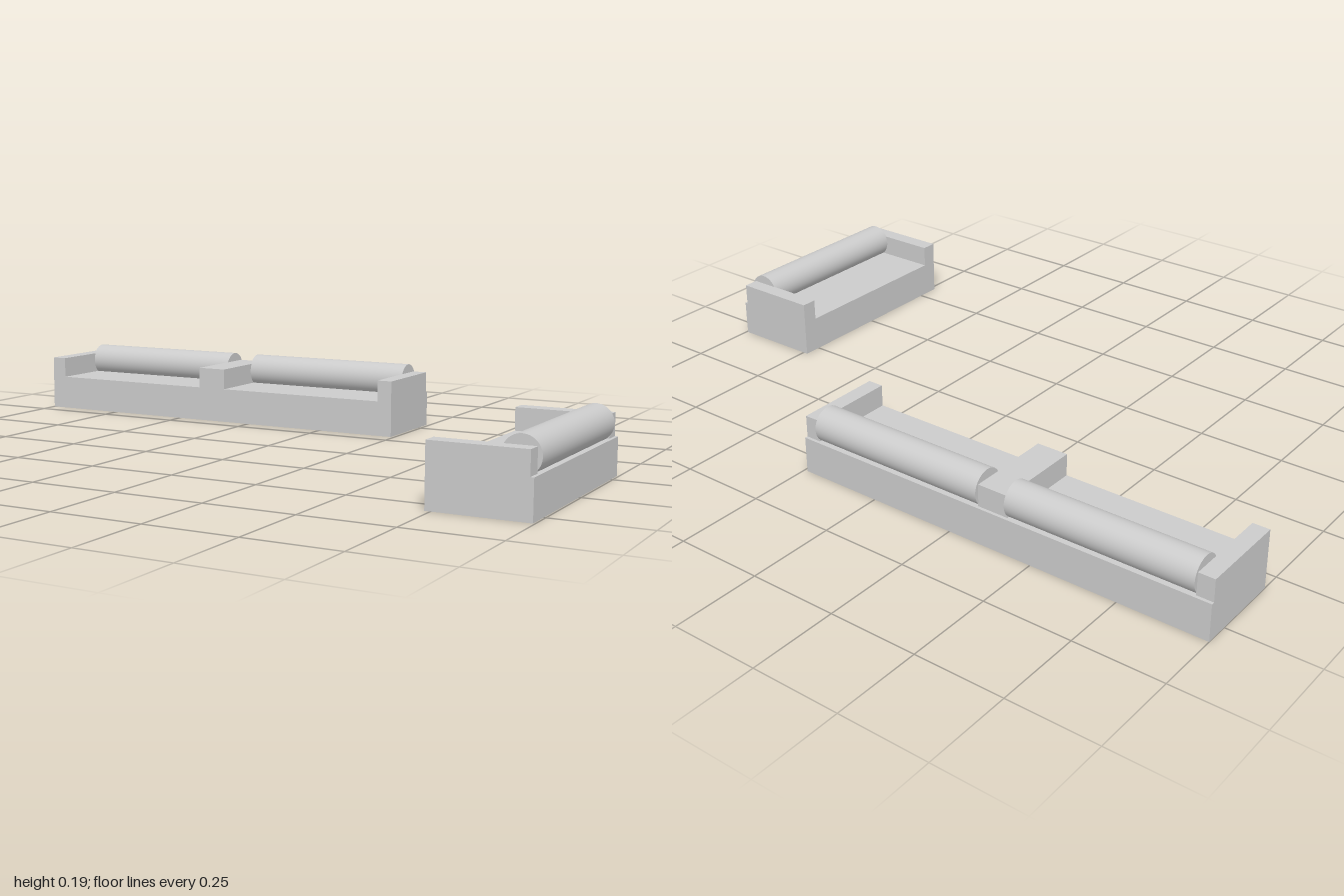
import * as THREE from 'three';

const material = new THREE.MeshStandardMaterial({ color: 0xcccccc });
const BASE_H = 0.103, ARM_H = 0.165, DEPTH = 0.26, ARM_DEPTH = 0.251;

// Box spanning the given ranges
function block(name, x0, x1, y0, y1, z0, z1) {
  const mesh = new THREE.Mesh(new THREE.BoxGeometry(x1 - x0, y1 - y0, z1 - z0), material);
  mesh.position.set((x0 + x1) / 2, (y0 + y1) / 2, (z0 + z1) / 2);
  mesh.name = name;
  return mesh;
}

// Sofa running along x from 0 to length, its front edge at z = 0 and its back at -z.
// arms: list of [start, end] along x; a bolster fills each gap between arms.
function createSofa(name, length, arms) {
  const sofa = new THREE.Group();
  sofa.name = name;
  sofa.add(block('seatBase', 0, length, 0, BASE_H, -DEPTH, 0));

  arms.forEach(([a, b], i) => {
    sofa.add(block('armrest' + (i + 1), a, b, BASE_H, ARM_H, -ARM_DEPTH, 0));
    if (i === arms.length - 1) return;

    // Round back bolster, sunk slightly into the base
    const end = arms[i + 1][0];
    const bolster = new THREE.Mesh(
      new THREE.CylinderGeometry(0.049, 0.049, end - b + 0.003, 48), material);
    bolster.rotation.z = Math.PI / 2;
    bolster.position.set((b + end) / 2, 0.142, -0.214);
    bolster.name = 'backBolster' + (i + 1);
    sofa.add(bolster);
  });
  return sofa;
}

export function createModel() {
  const model = new THREE.Group();
  model.name = 'sofaSet';

  // Long two-section sofa at the back
  const longSofa = createSofa('longSofa', 1.24, [[0, 0.047], [0.575, 0.665], [1.195, 1.24]]);
  longSofa.position.set(-1, 0, -0.307);
  model.add(longSofa);

  // Short sofa on the left, turned to face -x
  const shortSofa = createSofa('shortSofa', 0.621, [[0, 0.046], [0.575, 0.621]]);
  shortSofa.rotation.y = -Math.PI / 2;
  shortSofa.position.set(0.735, 0, -0.052);
  model.add(shortSofa);

  return model;
}
